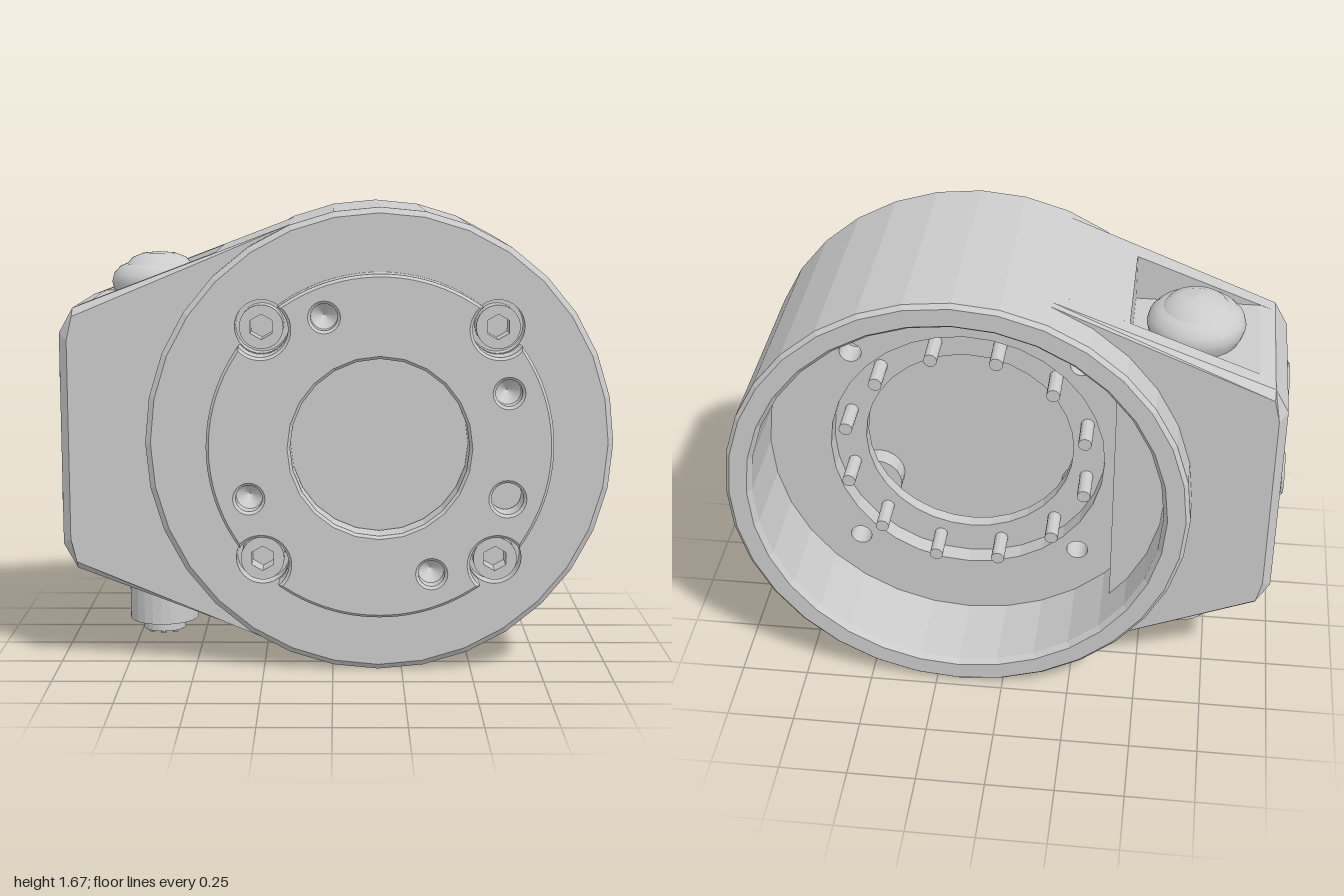
import * as THREE from 'three';

const CX = 0.165, CY = 0.835, R = 0.835, BORE = 0.74, SEG = 32;
const flat = new THREE.MeshStandardMaterial({ color: 0xcccccc, flatShading: true });
const flatDouble = new THREE.MeshStandardMaterial({ color: 0xcccccc, flatShading: true, side: THREE.DoubleSide });
const smooth = new THREE.MeshStandardMaterial({ color: 0xcccccc, side: THREE.DoubleSide });

export function createModel() {
  const model = new THREE.Group();
  const add = (name, geometry, x = 0, y = 0, z = 0, material = flat) => {
    const mesh = new THREE.Mesh(geometry, material);
    mesh.name = name;
    mesh.position.set(x, y, z);
    model.add(mesh);
    return mesh;
  };
  const v2 = (pts) => pts.map(([x, y]) => new THREE.Vector2(x, y));
  const circle = (x, y, r, Type = THREE.Path) => new Type().absarc(x, y, r, 0, Math.PI * 2, false);
  const extrude = (shape, depth, opts = {}) =>
    new THREE.ExtrudeGeometry(shape, { depth, bevelEnabled: false, curveSegments: SEG / 2, ...opts });
  // Lathe and cylinder turned so that their axis runs along z
  const latheZ = (pts, seg = SEG) => new THREE.LatheGeometry(v2(pts), seg).rotateX(Math.PI / 2);
  const rodZ = (rFront, rBack, len, seg = 20) =>
    new THREE.CylinderGeometry(rFront, rBack, len, seg).rotateX(Math.PI / 2);

  // Body outline: round barrel merging into the side housing, optionally notched for the pockets
  const arc = [];
  for (let i = -10; i <= 10; i++) {
    const a = (i * Math.PI * 2) / SEG;
    arc.push([CX + R * Math.cos(a), CY + R * Math.sin(a)]);
  }
  const upper = [[-0.93, 1.31], [-0.98, 1.22]];
  const notchTop = [[-0.42, 1.505], [-0.42, 1.33], [-0.875, 1.33]];
  const mirrorY = (pts) => pts.map(([x, y]) => [x, 2 * CY - y]).reverse();
  const bodyShape = (notched) => {
    const left = notched ? [...notchTop, ...upper] : upper;
    const shape = new THREE.Shape(v2([...arc, ...left, ...mirrorY(left)]));
    shape.holes.push(circle(CX, CY, BORE));
    return shape;
  };

  // Housing end slices with a chamfer on the outer face, and the notched middle slice
  const endSlice = (outerZ) => {
    const geo = extrude(bodyShape(false), 0.09, { steps: 3 });
    const p = geo.attributes.position;
    for (let i = 0; i < p.count; i++) {
      if (Math.abs(p.getZ(i) - outerZ) > 0.001 || p.getX(i) > -0.6) continue;
      if (Math.hypot(p.getX(i) - CX, p.getY(i) - CY) < BORE + 0.05) continue;
      p.setX(i, Math.max(p.getX(i), -0.95));
      p.setY(i, CY + (p.getY(i) - CY) * 0.94);
    }
    geo.computeVertexNormals();
    return geo;
  };
  add('housingBack', endSlice(0), 0, 0, -0.34);
  add('housingMiddle', extrude(bodyShape(true), 0.46), 0, 0, -0.25);
  add('housingFront', endSlice(0.09), 0, 0, 0.21);

  // Barrel ends
  add('backRim', latheZ([[BORE, -0.34], [BORE, -0.455], [0.755, -0.475], [0.82, -0.475], [R, -0.46], [R, -0.34]]),
    CX, CY, 0, flatDouble);
  add('frontRim', latheZ([[R, 0.3], [R, 0.34], [0.815, 0.355]]), CX, CY, 0, flatDouble);

  // Front plate with four counterbores
  const B = 0.417, boltR = B * Math.SQRT2;
  const bolts = [0, 1, 2, 3].map((k) => {
    const a = Math.PI / 4 + (k * Math.PI) / 2;
    return { a, x: boltR * Math.cos(a), y: boltR * Math.sin(a) };
  });
  const plate = circle(0, 0, 0.815, THREE.Shape);
  bolts.forEach((b) => plate.holes.push(circle(b.x, b.y, 0.095)));
  add('frontPlate', extrude(plate, 0.085), CX, CY, 0.27);

  // Raised flange, scalloped around the bolts
  const FR = 0.61, NR = 0.097;
  const d = Math.acos((FR * FR + boltR * boltR - NR * NR) / (2 * FR * boltR));
  const n = Math.atan2(FR * Math.sin(d), FR * Math.cos(d) - boltR);
  const flange = new THREE.Shape();
  bolts.forEach((b) => {
    const next = b.a + Math.PI / 2;
    flange.absarc(0, 0, FR, b.a + d, next - d, false);
    flange.absarc(boltR * Math.cos(next), boltR * Math.sin(next), NR, next - n, next + n - Math.PI * 2, true);
  });
  const drilled = [[-0.195, 0.46], [0.45, 0.195], [-0.46, -0.18], [0.185, -0.45]];
  flange.holes.push(circle(0, 0, 0.315));
  drilled.forEach(([x, y]) => flange.holes.push(circle(x, y, 0.047)));
  flange.holes.push(circle(0.45, -0.18, 0.057));
  add('flange', extrude(flange, 0.095, {
    bevelEnabled: true, bevelThickness: 0.01, bevelSize: 0.01, bevelOffset: -0.01, bevelSegments: 1, curveSegments: 12,
  }), CX, CY, 0.365);
  drilled.forEach(([x, y]) =>
    add('drillPoint', new THREE.ConeGeometry(0.052, 0.05, 20, 1, true).rotateX(-Math.PI / 2),
      CX + x, CY + y, 0.385, flatDouble));

  // Socket-head bolts and the bosses behind them
  const head = circle(0, 0, 0.078, THREE.Shape);
  const hex = [];
  for (let i = 0; i < 6; i++) hex.push([0.045 * Math.sin(i * Math.PI / 3), 0.045 * Math.cos(i * Math.PI / 3)]);
  head.holes.push(new THREE.Path(v2(hex)));
  bolts.forEach((b) => {
    add('boltHead', extrude(head, 0.09), CX + b.x, CY + b.y, 0.28);
    add('boltBoss', rodZ(0.1, 0.1, 0.09), CX + b.x, CY + b.y, 0.24);
  });

  // Inner floor, stepped pin ring and pins
  const floor = circle(0, 0, BORE + 0.01, THREE.Shape);
  floor.holes.push(circle(0, 0, 0.51));
  bolts.forEach((b) => floor.holes.push(circle(b.x, b.y, 0.04)));
  add('innerFloor', extrude(floor, 0.1), CX, CY, -0.15);
  const ring = circle(0, 0, 0.52, THREE.Shape);
  ring.holes.push(circle(0, 0, 0.39));
  add('pinRing', extrude(ring, 0.05), CX, CY, -0.08);
  for (let i = 0; i < 12; i++) {
    const a = ((i + 0.5) * Math.PI) / 6;
    add('pin', rodZ(0.025, 0.025, 0.16, 12), CX + 0.455 * Math.cos(a), CY + 0.455 * Math.sin(a), -0.13);
  }

  // Raised segment along the housing side of the cavity
  const half = Math.acos(0.545 / BORE);
  const segment = new THREE.Shape().absarc(0, 0, BORE + 0.01, Math.PI - half, Math.PI + half, false);
  add('cavityStep', extrude(segment, 0.2), CX, CY, -0.31);

  // Domed vent in the top pocket
  const PX = -0.645, PZ = -0.02;
  add('ventDome', new THREE.LatheGeometry(v2([[0.15, 1.32], [0.168, 1.355], [0.176, 1.385], [0.168, 1.415],
    [0.145, 1.44], [0.122, 1.45], [0.118, 1.45], [0.1, 1.472], [0.06, 1.488], [0, 1.494]]), 32), PX, 0, PZ, smooth);

  // Round connector in the bottom pocket
  const connector = [[0.165, 0.165, 0.06, 0.315], [0.12, 0.12, 0.06, 0.27], [0.13, 0.13, 0.16, 0.18], [0.08, 0.08, 0.05, 0.085]];
  connector.forEach(([a, b, h, y]) => add('connectorBody', new THREE.CylinderGeometry(a, b, h, 24), PX, y, PZ));
  for (let i = 0; i < 13; i++) {
    const r = i === 0 ? 0 : i < 5 ? 0.03 : 0.06, a = i * (i < 5 ? Math.PI / 2 : Math.PI / 4);
    add('contact', new THREE.CylinderGeometry(0.01, 0.01, 0.012, 8), PX + r * Math.cos(a), 0.056, PZ + r * Math.sin(a));
  }

  // Low domed plugs on the side face
  [[1.07, 0.095], [0.84, -0.14], [0.61, 0.095]].forEach(([y, z]) => {
    const profile = v2([[0.088, -0.01], [0.088, 0.012], [0.075, 0.022], [0, 0.025]]);
    add('sidePlug', new THREE.LatheGeometry(profile, 24).rotateZ(Math.PI / 2), -0.975, y, z, flatDouble);
  });

  return model;
}
